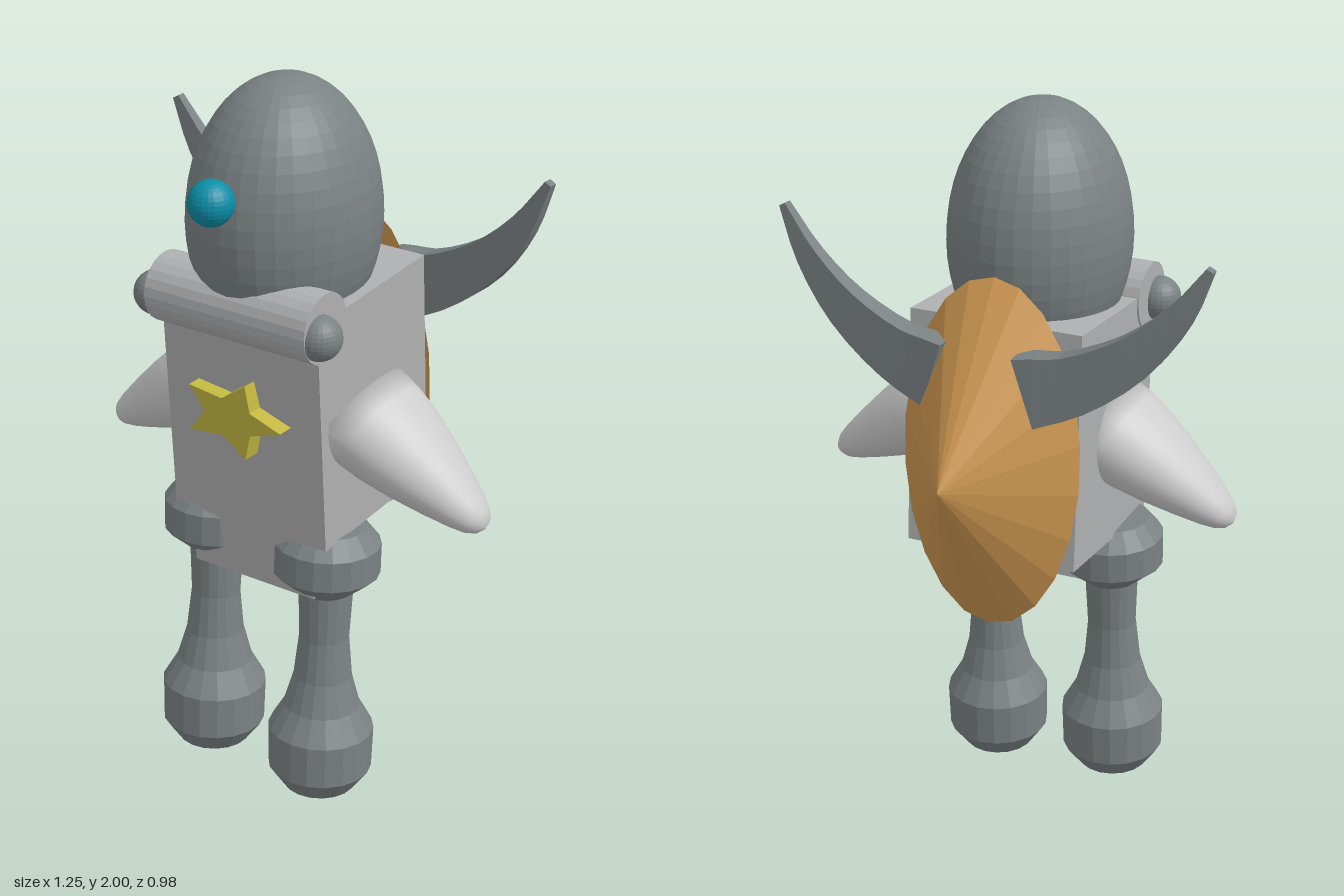
import * as THREE from 'three';

const mat = (color = 0xcccccc, flatShading = true) => new THREE.MeshStandardMaterial({ color, flatShading });
const LIGHT = mat(0xcccccc, false), GREY = mat(0xafb0b1), DARK = mat(0x7b8284);
const ORANGE = mat(0xcc9650), TEAL = mat(0x0a8ea8), YELLOW = mat(0xc2b740);
const profile = points => points.map(([x, y]) => new THREE.Vector2(x, y));

export function createModel() {
  const model = new THREE.Group();
  const add = (name, geometry, material, x, y, z) => {
    const mesh = new THREE.Mesh(geometry, material);
    mesh.name = name;
    mesh.position.set(x, y, z);
    model.add(mesh);
    return mesh;
  };

  // Torso leaning slightly forward, with a pelvis block below its front
  add('torso', new THREE.BoxGeometry(0.49, 0.655, 0.49), GREY, 0, 1.135, 0.077).rotation.x = 0.06;
  add('pelvis', new THREE.BoxGeometry(0.39, 0.2, 0.16), GREY, 0, 0.73, 0.211).rotation.x = 0.06;

  // Egg-shaped head and round nose
  add('head', new THREE.SphereGeometry(1, 32, 24), DARK, 0, 1.63, 0.133).scale.set(0.243, 0.37, 0.278);
  add('nose', new THREE.SphereGeometry(0.06, 24, 16), TEAL, -0.01, 1.746, 0.43);

  // Collar roll with a ball at each end
  add('collar', new THREE.CylinderGeometry(0.094, 0.094, 0.5, 24), GREY, 0, 1.433, 0.312).rotation.z = Math.PI / 2;
  for (const x of [-0.26, 0.252]) {
    add('collarBall', new THREE.SphereGeometry(0.06, 24, 16), DARK, x, 1.42, 0.342);
  }

  // Stretched five-pointed star on the chest
  const points = [];
  for (let i = 0; i < 10; i++) {
    const k = i % 2 ? 0.5 : 1, a = i * Math.PI / 5;
    points.push([0.16 * k * Math.cos(a), 0.11 * k * Math.sin(a)]);
  }
  const star = new THREE.ExtrudeGeometry(new THREE.Shape(profile(points)), { depth: 0.07, bevelEnabled: false });
  add('chestStar', star, YELLOW, -0.01, 1.135, 0.3);

  // Arms: tapered cones with a flat shoulder end and a rounded tip
  const armProfile = profile([[0, 0], [1, 0], [0.985, 0.15], [0.92, 0.3], [0.77, 0.5], [0.58, 0.7],
    [0.42, 0.85], [0.31, 0.93], [0.18, 0.98], [0, 1]]);
  for (const [name, side, x] of [['leftArm', 1, 0.232], ['rightArm', -1, 0.187]]) {
    const arm = add(name, new THREE.LatheGeometry(armProfile, 32), LIGHT, side * x, 1.137, 0.125);
    arm.scale.set(0.13, 0.455, 0.167);
    arm.rotation.z = -side * 2.12;
  }

  // Legs: spool-shaped turnings, feet slightly forward
  const legProfile = profile([[0, 0], [0.1, 0], [0.143, 0.06], [0.145, 0.18], [0.105, 0.25], [0.08, 0.34],
    [0.068, 0.46], [0.074, 0.6], [0.145, 0.66], [0.145, 0.745], [0.105, 0.795], [0, 0.795]]);
  for (const [name, x, y] of [['leftLeg', 0.168, 0.007], ['rightLeg', -0.198, 0.03]]) {
    add(name, new THREE.LatheGeometry(legProfile, 18), DARK, x, y, 0.221).rotation.x = -0.053;
  }

  // Elliptical cone shell on the back
  const shell = add('backShell', new THREE.ConeGeometry(1, 0.315, 22), ORANGE, 0, 1.121, -0.333);
  shell.scale.set(0.256, 1, 0.487);
  shell.rotation.x = -Math.PI / 2 + 0.052;

  // Wings: a box bent along a curve and tapered to the tip
  const path = new THREE.CatmullRomCurve3([[0.127, 1.345], [0.25, 1.383], [0.4, 1.478], [0.51, 1.6], [0.584, 1.732]]
    .map(([x, y]) => new THREE.Vector3(x, y, 0)));
  const wing = new THREE.BoxGeometry(1, 1, 1, 12, 1, 1);
  const pos = wing.attributes.position;
  for (let i = 0; i < pos.count; i++) {
    const t = pos.getX(i) + 0.5, p = path.getPoint(t), d = path.getTangent(t);
    const h = pos.getY(i) * (0.19 - 0.17 * t ** 1.15);
    pos.setXYZ(i, p.x - d.y * h, p.y + d.x * h, pos.getZ(i) * (0.075 - 0.05 * t));
  }
  wing.computeVertexNormals();
  add('leftWing', wing, DARK, 0, 0, -0.235).rotation.y = -0.06;
  const rightWing = add('rightWing', wing, DARK, 0, 0, -0.247);
  rightWing.rotation.y = Math.PI + 0.05;
  rightWing.scale.x = 1.05;

  return model;
}
